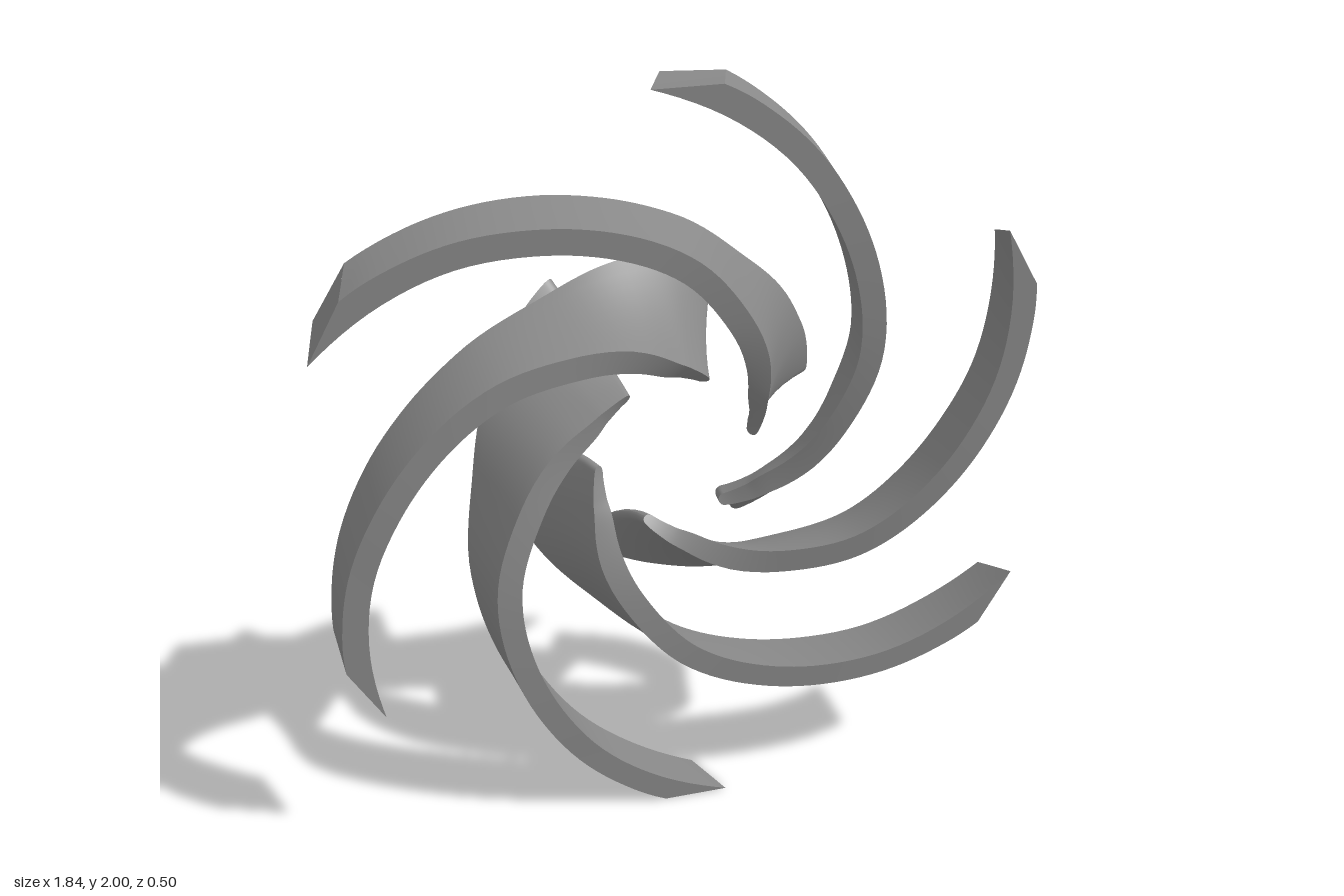
import * as THREE from 'three';
import { mergeGeometries } from 'three/addons/utils/BufferGeometryUtils.js';

const V = (a) => new THREE.Vector3(...a);
const curve = (pts) => new THREE.CatmullRomCurve3(pts.map(V), false, 'catmullrom');

// Blade edges as (radius, angle in degrees, z), paired from leading to trailing edge
const hub = curve([
  [0.205, 6, 0.08], [0.233, 25, 0.115], [0.276, 42, 0.145], [0.413, 71, 0.197], [0.55, 90.5, 0.228],
  [0.664, 107, 0.243], [0.763, 120, 0.25], [0.863, 132, 0.25], [0.938, 142, 0.25], [1, 151, 0.25],
]);
const shroud = curve([
  [0.457, 4, -0.25], [0.454, 22, -0.185], [0.455, 40, -0.115], [0.497, 68, -0.025], [0.6, 90, 0.04],
  [0.685, 105, 0.06], [0.775, 118, 0.07], [0.868, 130, 0.083], [0.938, 139.5, 0.09], [1, 148, 0.1],
]);

function toXYZ(p) {
  const a = THREE.MathUtils.degToRad(p.y);
  return new THREE.Vector3(p.x * Math.cos(a), p.x * Math.sin(a), p.z);
}

// Middle surface from hub (v = 0) to shroud (v = 1), bowed towards the inlet at the leading edge
function mid(u, v) {
  const p = toXYZ(hub.getPoint(u)).lerp(toXYZ(shroud.getPoint(u)), v);
  const bow = 0.16 * v * (1 - v) * (1 - u) ** 4;
  const inlet = new THREE.Vector3(p.x, p.y, 0).setLength(-0.8).setZ(-0.6);
  return p.addScaledVector(inlet, bow);
}

// Half thickness: rounded nose, growing to full thickness
function half(u) {
  const nose = Math.sqrt(1 - (1 - Math.min(u / 0.02, 1)) ** 2);
  return 0.032 * Math.min(1, 0.45 + 2 * u) * nose;
}

// Point in the blade; w = -1 is the inner face, w = 1 the outer face
function point(u, v, w) {
  const e = 0.004;
  const a = Math.max(0, u - e), b = Math.min(1, u + e);
  const du = mid(b, v).sub(mid(a, v));
  const dv = mid(u, 1).sub(mid(u, 0));
  const n = dv.cross(du).normalize();
  n.z *= Math.max(0, 1 - 3 * u);
  n.normalize();
  const p = mid(u, v);
  // Turn the offset gradually along the rim, where the trailing edge is cut
  const rim = new THREE.Vector3(p.y, -p.x, 0).normalize();
  const d = n.clone().lerp(rim, THREE.MathUtils.smoothstep(u, 0.6, 1)).normalize();
  return p.addScaledVector(d, (w * half(u)) / d.dot(n));
}

// Grid of nu x nv cells over f(i, j), both in 0..1
function patch(nu, nv, f, flip) {
  const pos = [], index = [];
  for (let i = 0; i <= nu; i++)
    for (let j = 0; j <= nv; j++) pos.push(...f(i / nu, j / nv).toArray());
  for (let i = 0; i < nu; i++)
    for (let j = 0; j < nv; j++) {
      const a = i * (nv + 1) + j, b = a + nv + 1;
      if (flip) index.push(a, a + 1, b, b, a + 1, b + 1);
      else index.push(a, b, a + 1, b, b + 1, a + 1);
    }
  const g = new THREE.BufferGeometry();
  g.setAttribute('position', new THREE.Float32BufferAttribute(pos, 3));
  g.setIndex(index);
  g.computeVertexNormals();
  return g;
}

export function createModel() {
  const N = 72;
  const s = (t) => t ** 1.6; // finer steps at the nose
  const bladeGeometry = mergeGeometries([
    patch(N, 8, (t, v) => point(s(t), v, 1), true), // outer face
    patch(N, 8, (t, v) => point(s(t), v, -1), false), // inner face
    patch(N, 2, (t, w) => point(s(t), 0, 2 * w - 1), true), // hub edge
    patch(N, 2, (t, w) => point(s(t), 1, 2 * w - 1), false), // shroud edge
    patch(4, 2, (v, w) => point(1, v, 2 * w - 1), true), // trailing edge
  ]);
  const material = new THREE.MeshStandardMaterial({ color: 0x888888 });

  const model = new THREE.Group();
  model.name = 'impellerBlades';
  const ring = new THREE.Group();
  ring.name = 'bladeRing';
  ring.position.y = 1;
  for (let i = 0; i < 6; i++) {
    const blade = new THREE.Mesh(bladeGeometry, material);
    blade.name = `blade${i + 1}`;
    blade.rotation.z = (i * Math.PI) / 3;
    ring.add(blade);
  }
  model.add(ring);
  return model;
}
